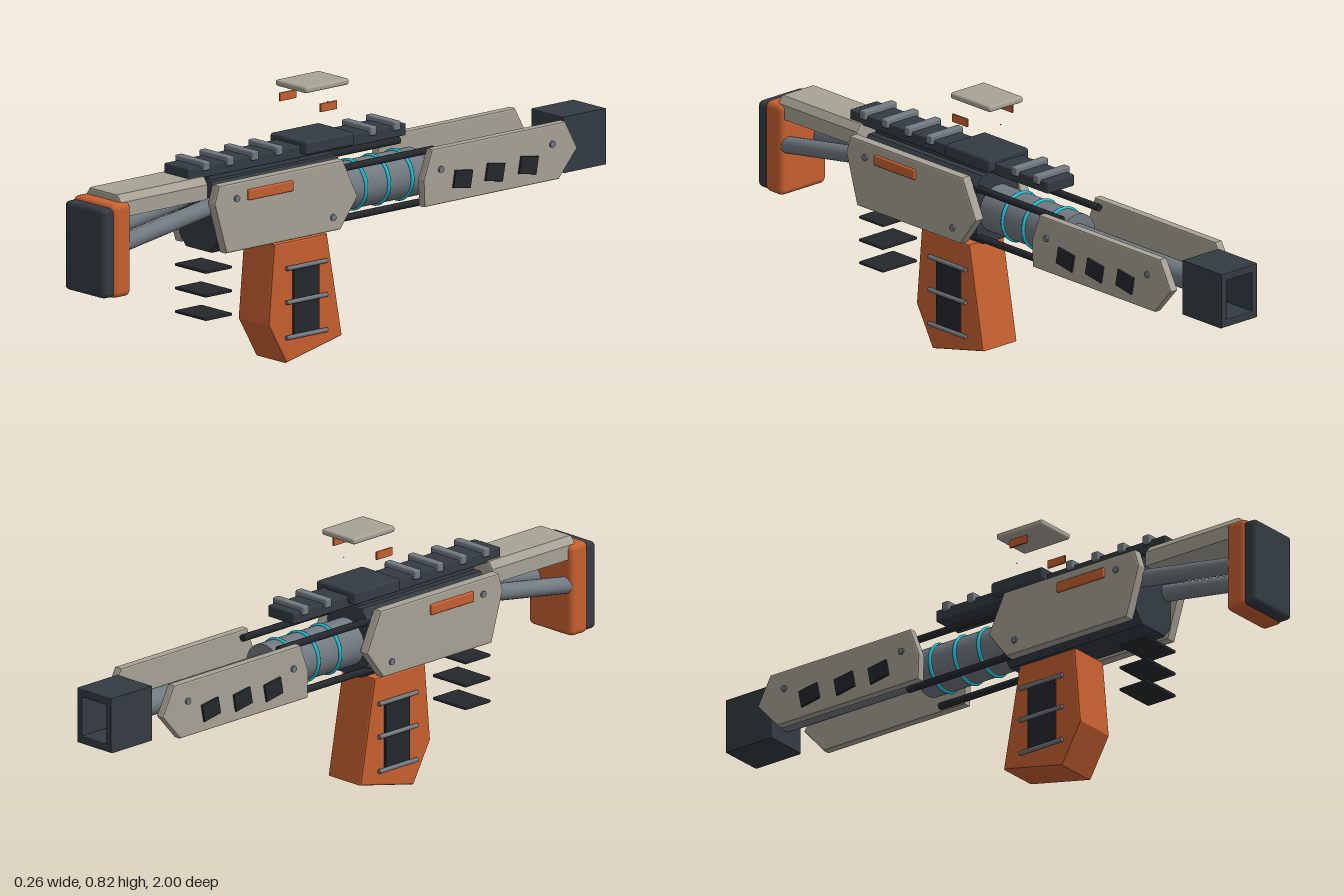
import * as THREE from 'three';
import { RoundedBoxGeometry } from 'three/addons/geometries/RoundedBoxGeometry.js';

const mat = (name, color) => {
  const m = new THREE.MeshStandardMaterial({ color });
  m.name = name;
  return m;
};

export function createModel() {
  const model = new THREE.Group();
  model.name = 'blaster';
  const orange = mat('orange', 0xc86030);
  const beige = mat('beige', 0xa8a396);
  const dark = mat('dark', 0x343b43);
  const black = mat('black', 0x24282d);
  const grey = mat('grey', 0x727a82);
  const cyan = mat('cyan', 0x22c4d8);

  const add = (name, geo, material, x = 0, y = 0, z = 0) => {
    const m = new THREE.Mesh(geo, material);
    m.name = name;
    m.position.set(x, y, z);
    model.add(m);
    return m;
  };
  // Softened box given by its centre and size
  const box = (name, material, x, y, z, w, h, d, r = 0.004) =>
    add(name, new RoundedBoxGeometry(w, h, d, 2, Math.min(r, w / 2.1, h / 2.1, d / 2.1)), material, x, y, z);
  // Round bar between two points
  const rod = (name, material, a, b, r, sides = 20) => {
    const p = new THREE.Vector3(...a), q = new THREE.Vector3(...b);
    const m = add(name, new THREE.CylinderGeometry(r, r, p.distanceTo(q), sides), material);
    m.position.copy(p).lerp(q, 0.5);
    m.quaternion.setFromUnitVectors(new THREE.Vector3(0, 1, 0), q.sub(p).normalize());
    return m;
  };
  const shapeOf = pts => new THREE.Shape(pts.map(p => new THREE.Vector2(...p)));
  const extrude = (shape, depth, bevel) => {
    const g = new THREE.ExtrudeGeometry(shape, {
      depth: depth - 2 * bevel, bevelEnabled: bevel > 0, bevelThickness: bevel,
      bevelSize: bevel, bevelOffset: -bevel, bevelSegments: 2,
    });
    return g.translate(0, 0, bevel - depth / 2);
  };
  // Plate outlined in (z, y), with its thickness along x
  const sidePlate = (name, material, pts, x, width, bevel) =>
    add(name, extrude(shapeOf(pts), width, bevel).rotateY(-Math.PI / 2), material, x);
  // Section outlined in (x, y), running along z
  const bar = (name, material, pts, z, length, bevel) =>
    add(name, extrude(shapeOf(pts), length, bevel), material, 0, 0, z);

  // Shoulder stock
  box('buttPad', dark, 0, 0.455, 0.975, 0.176, 0.27, 0.05, 0.014);
  box('butt', orange, 0, 0.458, 0.928, 0.184, 0.285, 0.075, 0.018);
  bar('stockTop', beige, [[-0.078, 0.555], [0.078, 0.555], [0.078, 0.6], [0.062, 0.622],
    [-0.062, 0.622], [-0.078, 0.6]], 0.75, 0.345, 0.006);

  // Receiver body
  bar('receiverBody', dark, [[-0.055, 0.383], [0.055, 0.383], [0.085, 0.42], [0.085, 0.57],
    [0.06, 0.6], [-0.06, 0.6], [-0.085, 0.57], [-0.085, 0.42]], 0.3, 0.5, 0.006);

  // Sight rail with cross teeth and centre block
  box('rail', dark, 0, 0.633, 0.205, 0.108, 0.036, 0.86);
  box('railFoot', dark, 0, 0.605, 0.3, 0.08, 0.03, 0.48);
  for (const z of [0.57, 0.475, 0.378, 0.282, -0.088, -0.182])
    box('railTooth', grey, 0, 0.652, z, 0.13, 0.028, 0.026, 0.005);
  box('sightBlock', dark, 0, 0.646, 0.098, 0.162, 0.041, 0.193, 0.008);

  // Power core with glowing rings
  rod('core', grey, [0, 0.485, 0.06], [0, 0.485, -0.295], 0.073, 32);
  for (const z of [-0.05, -0.14, -0.232])
    add('glowRing', new THREE.TorusGeometry(0.073, 0.006, 8, 40), cyan, 0, 0.485, z);

  // Barrel
  rod('barrel', grey, [0, 0.49, -0.28], [0, 0.49, -0.9], 0.038, 24);

  // Hollow muzzle block
  const frame = shapeOf([[-0.072, 0.405], [0.072, 0.405], [0.072, 0.575], [-0.072, 0.575]]);
  frame.holes.push(new THREE.Path([[-0.05, 0.43], [-0.05, 0.55], [0.05, 0.55], [0.05, 0.43]]
    .map(p => new THREE.Vector2(...p))));
  add('muzzleFrame', extrude(frame, 0.172, 0.004), dark, 0, 0, -0.914);
  box('muzzleBack', dark, 0, 0.49, -0.85, 0.13, 0.15, 0.04);
  rod('bore', black, [0, 0.49, -0.899], [0, 0.49, -0.904], 0.026, 24);

  // Parts mirrored on both sides
  for (const s of [1, -1]) {
    rod('stockStrut', grey, [s * 0.063, 0.47, 0.91], [s * 0.063, 0.53, 0.54], 0.026);
    sidePlate('receiverPanel', beige, [[0.585, 0.545], [0.538, 0.39], [0.088, 0.39],
      [0.02, 0.48], [0.078, 0.6], [0.568, 0.6]].reverse(), s * 0.099, 0.034, 0.006);
    box('receiverStripe', orange, s * 0.117, 0.556, 0.369, 0.014, 0.032, 0.177);
    sidePlate('handguardPanel', beige, [[-0.265, 0.578], [-0.232, 0.49], [-0.235, 0.407], [-0.765, 0.407],
      [-0.838, 0.49], [-0.79, 0.578]], s * 0.111, 0.028, 0.005);
    for (const z of [-0.383, -0.51, -0.642])
      sidePlate('handguardVent', black, [[z + 0.03, 0.502], [z - 0.038, 0.492],
        [z - 0.028, 0.438], [z + 0.04, 0.45]], s * 0.126, 0.012, 0.002);
    for (const [y, z, x] of [[0.552, 0.5, 0.116], [0.433, 0.12, 0.116], [0.513, -0.297, 0.125], [0.518, -0.736, 0.125]])
      rod('screw', grey, [s * (x - 0.01), y, z], [s * (x + 0.006), y, z], 0.01, 12);
    for (const y of [0.563, 0.411])
      rod('coreRail', black, [s * 0.075, y, 0.08], [s * 0.075, y, -0.31], 0.011, 12);

    // Magazine side inlay and bars
    box('magazineInlay', black, s * 0.071, 0.187, 0.187, 0.01, 0.21, 0.102, 0.002);
    for (const y of [0.293, 0.19, 0.083])
      rod('magazineBar', grey, [s * 0.076, y, 0.267], [s * 0.076, y, 0.108], 0.007, 10);

    // Floating chips
    box('floatingChip', orange, s * 0.0905, 0.765, 0.115, 0.006, 0.026, 0.066, 0.002);
  }

  // Magazine
  sidePlate('magazine', orange, [[0.308, 0.372], [0.33, 0.128], [0.26, 0.004],
    [0.04, 0.053], [0.099, 0.372]], 0, 0.138, 0.006);

  // Floating plates
  box('floatingCover', beige, 0, 0.819, 0.098, 0.136, 0.019, 0.173, 0.007);
  for (const y of [0.331, 0.259, 0.188])
    box('floatingFin', black, 0, y, 0.527, 0.138, 0.009, 0.105, 0.003);
  add('floatingDot', new THREE.SphereGeometry(0.002, 8, 6), cyan, 0, 0.75, 0.037);

  return model;
}
